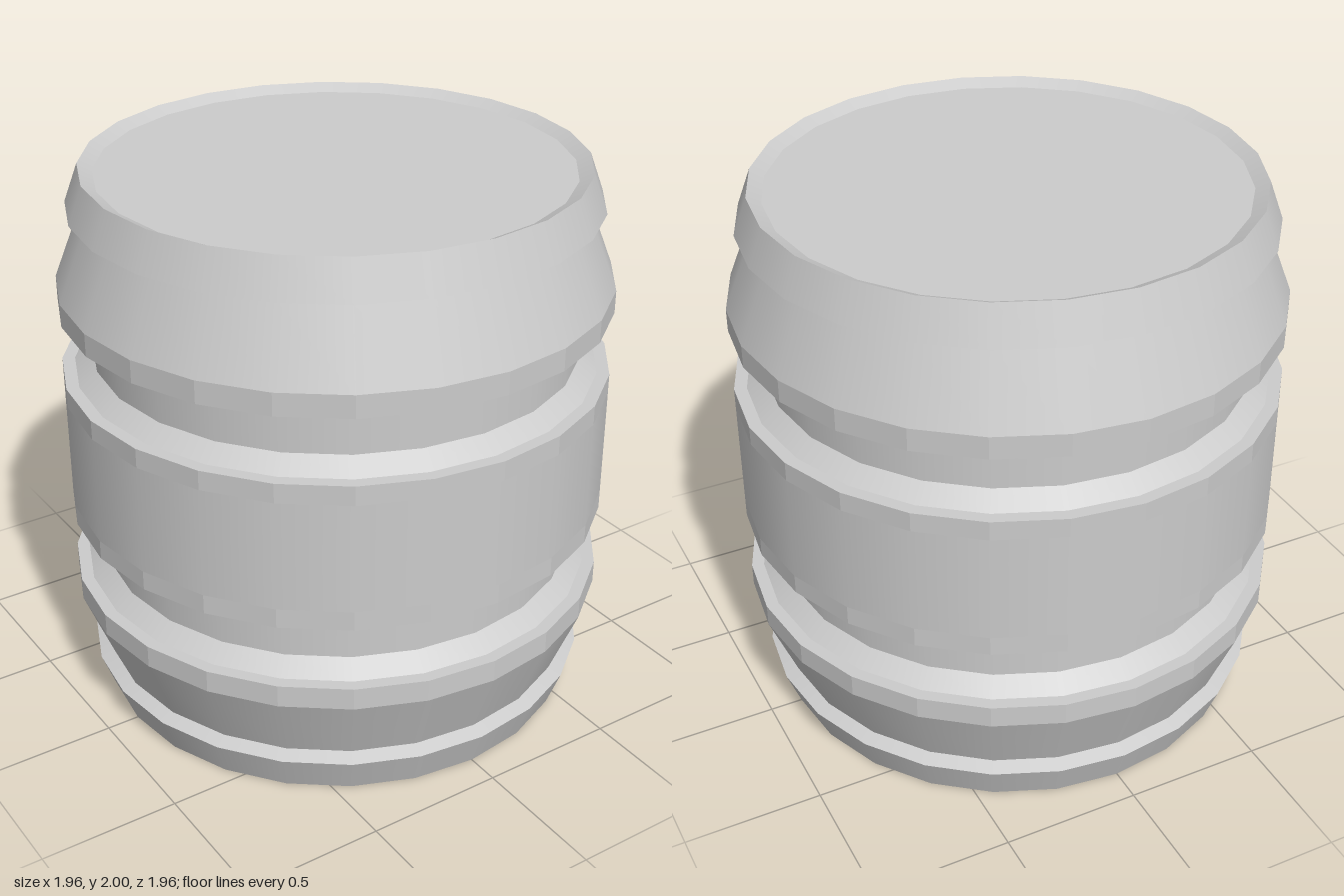
import * as THREE from 'three';

const SIDES = 24;
const smooth = new THREE.MeshStandardMaterial({ color: 0xcccccc });
const faceted = new THREE.MeshStandardMaterial({ color: 0xcccccc, flatShading: true });

// Lower half of the barrel, listed from the base centre up: name, profile points, faceted or not
const lowerHalf = [
  ['head', [[0, 0.025], [0.83, 0.025]], true],
  ['headBevel', [[0.83, 0.025], [0.88, 0]], false],
  ['endRim', [[0.88, 0], [0.93, 0.135]], false],
  ['rimStep', [[0.93, 0.135], [0.88, 0.155]], false],
  ['taperedWall', [[0.88, 0.155], [0.98, 0.41]], false],
  ['taperBand', [[0.98, 0.41], [0.98, 0.492]], true],
  ['taperLedge', [[0.98, 0.492], [0.935, 0.492]], true],
  ['grooveOuterSlope', [[0.935, 0.492], [0.87, 0.545]], false],
  ['grooveWall', [[0.87, 0.545], [0.87, 0.677]], false],
  ['grooveInnerSlope', [[0.87, 0.677], [0.935, 0.729]], false],
  ['bellyLedge', [[0.935, 0.729], [0.98, 0.729]], true],
  ['bellyBand', [[0.98, 0.729], [0.98, 0.8]], true],
];

// One ring of the barrel, with hard edges above and below it
function ring(name, points, flat) {
  const profile = points.map(([r, y]) => new THREE.Vector2(r, y));
  const mesh = new THREE.Mesh(new THREE.LatheGeometry(profile, SIDES), flat ? faceted : smooth);
  mesh.name = name;
  return mesh;
}

export function createModel() {
  const barrel = new THREE.Group();
  barrel.name = 'barrel';
  const lower = new THREE.Group();
  lower.name = 'lowerHalf';
  const upper = new THREE.Group();
  upper.name = 'upperHalf';

  // The upper half mirrors the lower one; reversing the points keeps faces outward
  for (const [name, points, flat] of lowerHalf) {
    lower.add(ring(name, points, flat));
    const mirrored = points.map(([r, y]) => [r, 2 - y]).reverse();
    upper.add(ring(name, mirrored, flat));
  }

  // Wide middle wall
  barrel.add(lower, ring('bellyWall', [[0.98, 0.8], [0.98, 1.2]], false), upper);
  return barrel;
}
